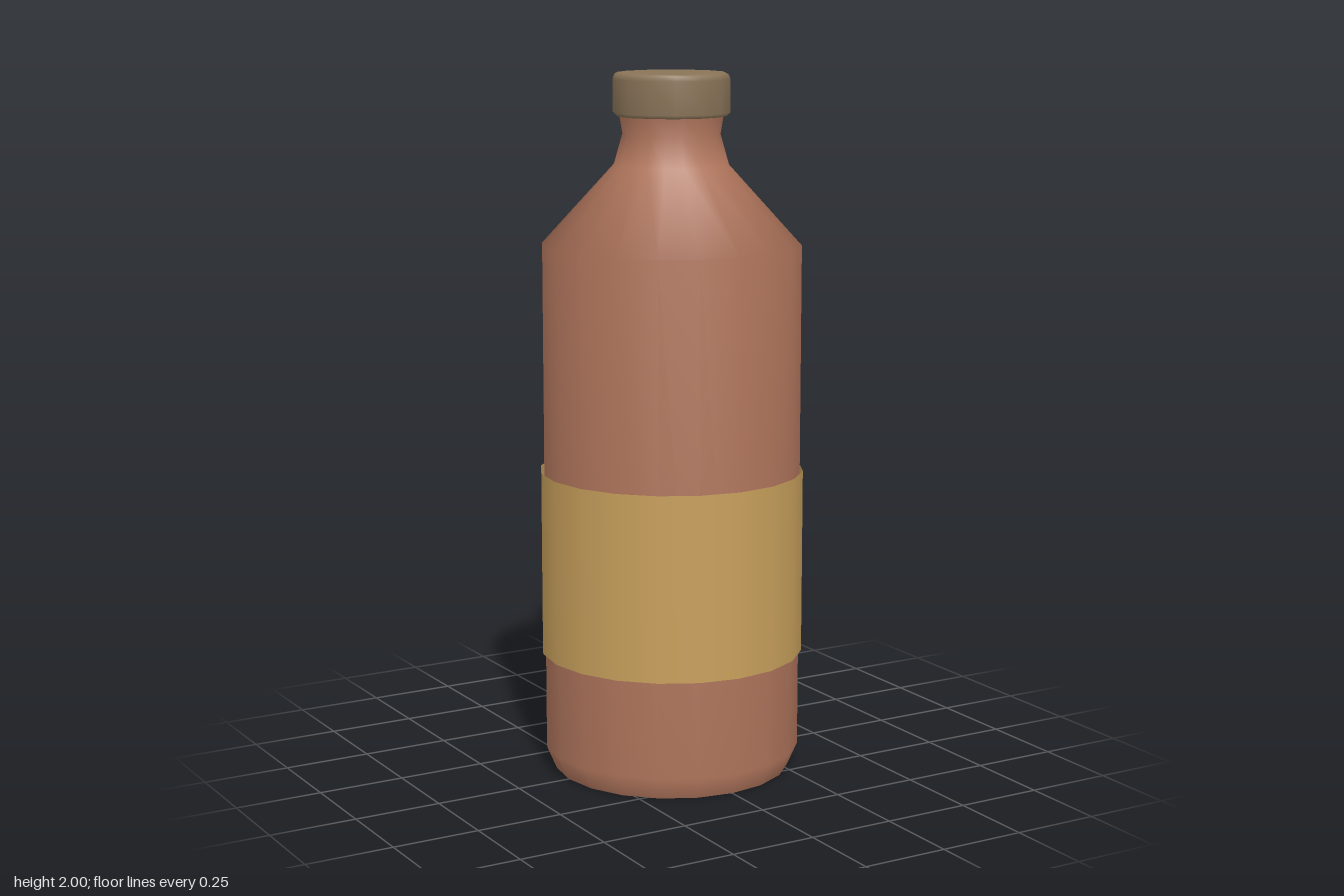
import * as THREE from 'three';

const material = (name, color, side = THREE.FrontSide) => {
  const m = new THREE.MeshStandardMaterial({ color, side });
  m.name = name;
  return m;
};

export function createModel() {
  const bottle = new THREE.Group();
  bottle.name = 'bottle';
  const clay = material('reddish brown', 0xae745b);
  const ochre = material('ochre label', 0xc8a05c, THREE.DoubleSide);
  const tan = material('dull tan', 0x8a7458);

  const add = (name, geometry, mat, y = 0) => {
    const mesh = new THREE.Mesh(geometry, mat);
    mesh.name = name;
    mesh.position.y = y;
    bottle.add(mesh);
    return mesh;
  };
  const lathe = (profile, sides) =>
    new THREE.LatheGeometry(profile.map(([r, y]) => new THREE.Vector2(r, y)), sides);

  // Body: chamfered foot, straight wall, sloping shoulder, pinched neck
  add('body', lathe([
    [0.34, 0], [0.368, 0.065], [0.368, 1.52], [0.162, 1.745], [0.138, 1.83], [0.148, 1.89],
  ], 20), clay);
  add('base', new THREE.CircleGeometry(0.34, 20).rotateX(Math.PI / 2), clay);

  // Label: open sleeve just outside the wall
  add('label', new THREE.CylinderGeometry(0.377, 0.377, 0.53, 20, 1, true), ochre, 0.61);

  // Cap: softly bevelled rim closed by flat discs
  add('capRim', lathe([
    [0.156, 1.88], [0.166, 1.89], [0.166, 1.982], [0.161, 1.995], [0.152, 2],
  ], 14), tan);
  const turn = Math.PI / 2; // puts disc corners on the rim corners
  add('capTop', new THREE.CircleGeometry(0.152, 14, turn).rotateX(-Math.PI / 2), tan, 2);
  add('capUnderside', new THREE.CircleGeometry(0.156, 14, turn).rotateX(Math.PI / 2), tan, 1.88);

  return bottle;
}
